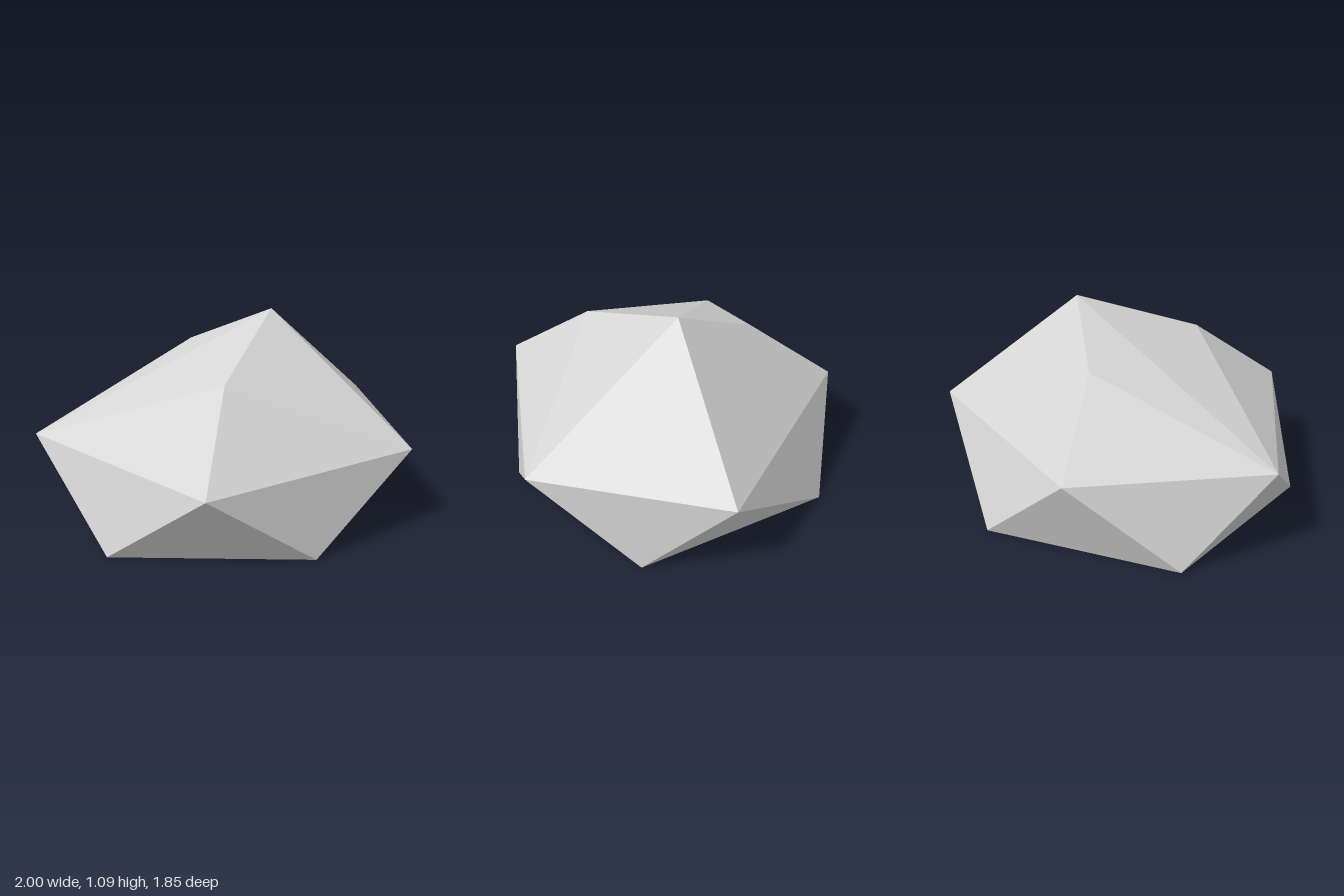
import * as THREE from 'three';

// Belt and base rings, [x, z], counter-clockwise seen from above
const BELT = [[-1, -0.14], [-0.27, 0.92], [0.93, 0.52], [1, -0.53], [-0.28, -0.92]];
const BASE = [[-0.70, 0.50], [0.34, 0.76], [0.97, -0.06], [0.28, -0.925], [-0.745, -0.575]];

export function createModel() {
  const stone = new THREE.MeshStandardMaterial({ color: 0xd5d5d5, flatShading: true });
  stone.name = 'pale stone grey';

  const belt = BELT.map(([x, z]) => [x, 0.46, z]);
  const base = BASE.map(([x, z]) => [x, 0, z]);
  const peak = [0.33, 1.093, -0.14];
  const frontKnee = [-0.065, 0.855, 0.42];
  const backKnee = [-0.06, 0.855, -0.475];

  const positions = [];
  // Fan of triangles from one corner around a run of corners
  const fan = (hub, rim) => {
    for (let i = 0; i + 1 < rim.length; i++) positions.push(...hub, ...rim[i], ...rim[i + 1]);
  };

  // Zigzag sides between the belt and the base
  for (let i = 0; i < 5; i++) {
    const j = (i + 1) % 5;
    fan(belt[j], [belt[i], base[i], base[j]]);
  }

  // Crown: facets around the two knees, then the remaining slope
  const [left, front, frontRight, backRight, back] = belt;
  fan(frontKnee, [peak, left, front, frontRight, peak]);
  fan(backKnee, [peak, backRight, back, left, peak]);
  fan(peak, [frontRight, backRight]);

  // Flat underside
  const under = [...base].reverse();
  fan(under[0], under.slice(1));

  const geometry = new THREE.BufferGeometry();
  geometry.setAttribute('position', new THREE.Float32BufferAttribute(positions, 3));
  geometry.computeVertexNormals();

  const rock = new THREE.Mesh(geometry, stone);
  rock.name = 'rock';
  const group = new THREE.Group();
  group.name = 'boulder';
  group.add(rock);
  return group;
}
